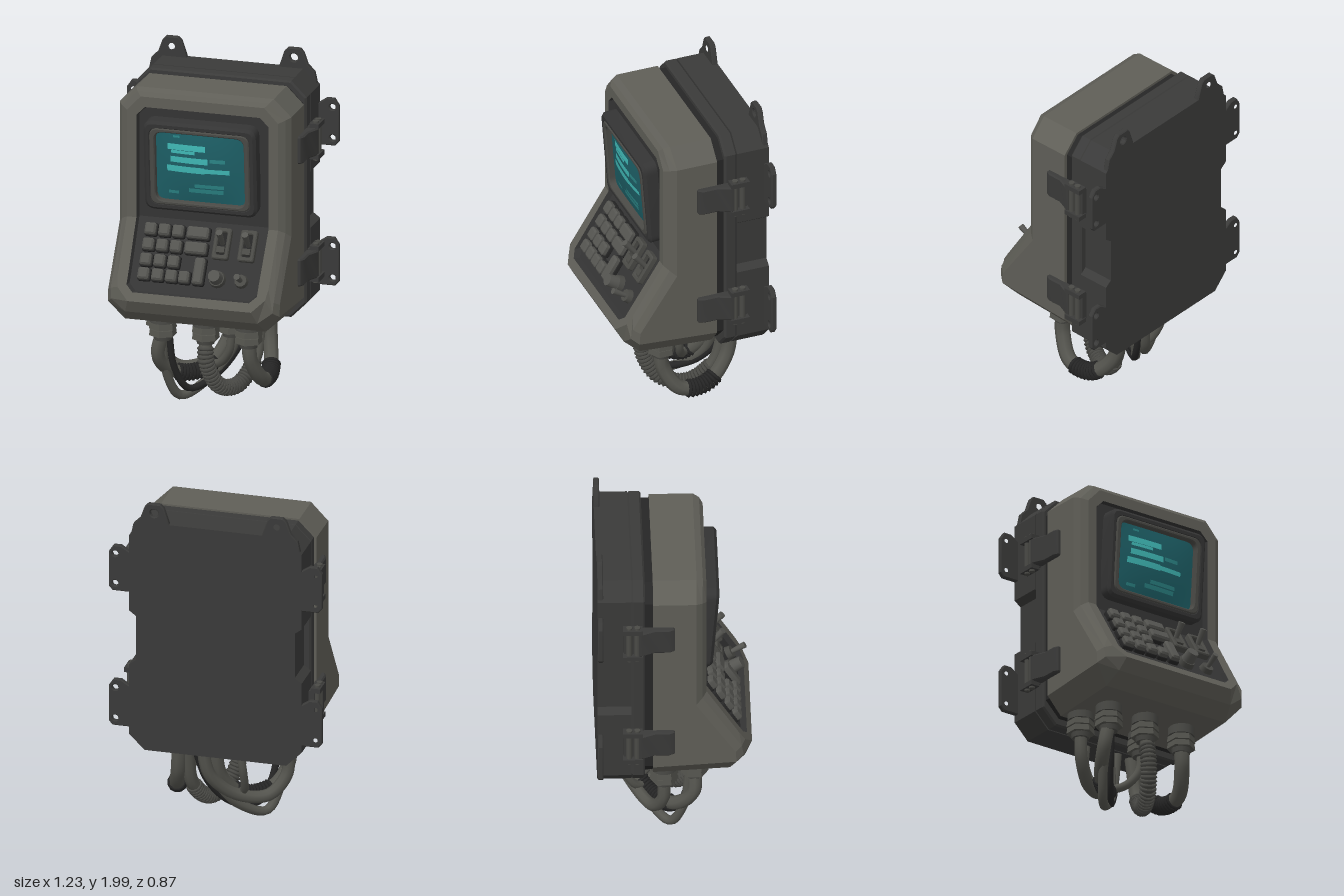
import * as THREE from 'three';
import { toCreasedNormals } from 'three/addons/utils/BufferGeometryUtils.js';

const mat = (name, color, side = THREE.FrontSide) => {
  const m = new THREE.MeshStandardMaterial({ color, side });
  m.name = name;
  return m;
};

export function createModel() {
  const root = new THREE.Group();
  const M = {
    shell: mat('shell grey', 0x5f5e57),
    box: mat('box charcoal', 0x3a3a39),
    panel: mat('panel charcoal', 0x343434),
    rubber: mat('rubber black', 0x262626),
    metal: mat('fitting grey', 0x4a4a46),
    keys: mat('key grey', 0x555551),
    cable: mat('cable grey', 0x54544e),
    screen: mat('screen teal', 0x1d5f66),
    dim: mat('screen mid teal', 0x2b8586),
    glow: mat('screen bright teal', 0x3fb8b5),
  };
  const add = (name, geo, m, parent = root, x = 0, y = 0, z = 0) => {
    const mesh = new THREE.Mesh(geo, m);
    mesh.name = name;
    mesh.position.set(x, y, z);
    parent.add(mesh);
    return mesh;
  };
  const group = (name, x = 0, y = 0, z = 0, parent = root) => {
    const g = new THREE.Group();
    g.name = name;
    g.position.set(x, y, z);
    parent.add(g);
    return g;
  };
  const poly = pts => new THREE.Shape(pts.map(p => new THREE.Vector2(p[0], p[1])));
  // extrusion that fills exactly z0..z1, with bevelled edges
  const extrude = (shape, z0, z1, b = 0.008) => toCreasedNormals(new THREE.ExtrudeGeometry(shape, {
    depth: z1 - z0 - 2 * b, bevelEnabled: b > 0, bevelSize: b, bevelThickness: b, bevelOffset: -b,
    bevelSegments: 1, curveSegments: 6,
  }).translate(0, 0, z0 + b), 0.5);
  const roundRect = (w, h, r, Type = THREE.Shape) => {
    const s = new Type(), a = w / 2, b = h / 2;
    s.moveTo(-a + r, -b).lineTo(a - r, -b).quadraticCurveTo(a, -b, a, -b + r).lineTo(a, b - r)
      .quadraticCurveTo(a, b, a - r, b).lineTo(-a + r, b).quadraticCurveTo(-a, b, -a, b - r)
      .lineTo(-a, -b + r).quadraticCurveTo(-a, -b, -a + r, -b);
    return s;
  };
  const frame = (w, h, r, w2, h2, r2) => {
    const s = roundRect(w, h, r);
    s.holes.push(roundRect(w2, h2, r2, THREE.Path));
    return s;
  };
  const key = (w, h, d, b = 0.01) => extrude(roundRect(w, h, 0.014), 0, d, b);
  const triangles = v => {
    const g = new THREE.BufferGeometry();
    g.setAttribute('position', new THREE.Float32BufferAttribute(v.flat(), 3));
    g.computeVertexNormals();
    return g;
  };
  // skin between rings; each ring is given as its +x half, top to bottom
  const mirrored = h => [...h, ...h.map(([x, y, z]) => [-x, y, z]).reverse()];
  const loft = halves => {
    const rings = halves.map(mirrored), v = [];
    for (let i = 0; i + 1 < rings.length; i++) {
      rings[i].forEach((a, j) => {
        const k = (j + 1) % rings[i].length;
        const b = rings[i][k], c = rings[i + 1][j], d = rings[i + 1][k];
        v.push(a, c, b, b, c, d);
      });
    }
    return triangles(v);
  };

  // Front shell: flat screen face above, sloping control face below
  const faceZ = y => 0.18 + Math.max(0, 1.12 - y) * 0.622;
  const onFace = (pts, d = 0) => pts.map(([x, y]) => [x, y, faceZ(y) - d]);
  const back = [[.40, 1.87], [.5, 1.77], [.5, 1.09], [.5, .74], [.5, .64], [.41, .54]].map(p => [...p, -.12]);
  const lip = back.map(([x, y]) => [x * .93, 1.2 + (y - 1.2) * .94, -.12]);
  const side = [[.40, 1.87, .125], [.5, 1.77, .12], [.5, 1.07, .12], [.5, .74, .34], [.5, .67, .345], [.41, .565, .31]];
  const brow = [[.385, 1.855, .16], [.475, 1.76, .155], [.475, 1.1, .155], [.475, .76, .375], [.47, .70, .385], [.385, .635, .395]];
  const face = onFace([[.36, 1.83], [.44, 1.745], [.44, 1.12], [.44, .83], [.43, .775], [.36, .71]]);
  const opening = [[.335, 1.77], [.385, 1.72], [.385, 1.12], [.38, .85], [.38, .79], [.34, .755]];
  const floor = onFace(opening.map(([x, y]) => [x * .98, y]), 0.035);
  add('frontShell', loft([lip, back, side, brow, face, onFace(opening)]), M.shell);
  add('panelRim', loft([onFace(opening), floor]), M.panel);
  const fv = [];
  for (let j = 0; j < 5; j++) {
    const [a, b] = [floor[j], floor[j + 1]];
    const [l, m] = [a, b].map(([x, y, z]) => [-x, y, z]);
    fv.push(l, m, b, l, b, a);
  }
  add('panelFloor', triangles(fv), M.panel);

  // Back box with a hand notch on each side, and the seal
  const half = (hw, y0, y1, c, mid = []) => [[hw - c, y1], [hw, y1 - c], ...mid, [hw, y0 + c], [hw - c, y0]];
  const outline = h => poly([...h, ...h.map(([x, y]) => [-x, y]).reverse()]);
  const notch = [[.5, 1.34], [.46, 1.31], [.46, 1.04], [.5, 1.01]];
  add('backBoxRear', extrude(outline(half(.5, .5, 1.885, .09, notch)), -.43, -.24, 0), M.box);
  add('backBoxFront', extrude(outline(half(.5, .5, 1.885, .09)), -.241, -.165, .01), M.box);
  add('seal', extrude(outline(half(.48, .545, 1.855, .09)), -.19, -.10, 0), M.rubber);

  // Wall lugs, side tabs and latches, mirrored
  const hole = (s, x, y, r) => s.holes.push(new THREE.Path().absarc(x, y, r, 0, Math.PI * 2, true));
  const armShape = poly([[.49, 0], [.515, 0], [.53, .03], [.53, .11], [.56, .18], [.56, .2], [.49, .2]]);
  for (const s of [-1, 1]) {
    const lug = poly([[.49, 1.80], [.475, 1.87], [.435, 1.91], [.41, 1.98], [.39, 2], [.32, 2], [.30, 1.98],
      [.27, 1.89], [.26, 1.80]].map(([x, y]) => [s * x, y]));
    hole(lug, s * .355, 1.945, .024);
    add('topLug', extrude(lug, -.43, -.398, .005), M.box);
    for (const [y0, y1] of [[1.45, 1.725], [.63, .91]]) {
      const yc = (y0 + y1) / 2;
      const tab = poly([[.47, y0], [.595, y0], [.617, y0 + .025], [.617, y1 - .04], [.59, y1], [.545, y1], [.50, y1 - .03],
        [.47, y1 - .03]].map(([x, y]) => [s * x, y]));
      hole(tab, s * .58, y0 + .045, .018);
      hole(tab, s * .58, y1 - .05, .018);
      add('sideTab', extrude(tab, -.43, -.40, .005), M.box);

      const g = group('latch', 0, yc - (yc > 1 ? .05 : -.05), 0);
      const arm = add('latchArm', extrude(s > 0 ? armShape : poly(armShape.getPoints().map(p => [-p.x, p.y])), -.08, .08, .008), M.box, g);
      arm.rotation.x = -Math.PI / 2;
      add('latchMount', new THREE.BoxGeometry(.05, .17, .10), M.box, g, s * .508, 0, -.235);
      for (const z of [-.255, -.21]) {
        add('latchPin', new THREE.CylinderGeometry(.017, .017, .23, 10), M.metal, g, s * .542, 0, z);
      }
      for (const y of [-.09, .09]) {
        add('latchKnuckle', new THREE.BoxGeometry(.055, .028, .11), M.box, g, s * .54, y, -.235);
      }
    }
  }

  // Screen with its deep bezel
  const mon = group('monitor', 0, 1.45, .235);
  mon.rotation.x = 0.077;
  add('bezel', extrude(frame(.655, .53, .06, .56, .43, .04), -.10, 0, .016), M.panel, mon);
  add('bezelTrim', extrude(frame(.58, .455, .05, .52, .41, .05), -.06, .004, .006), M.metal, mon);
  const patch = (x, y, w, h, off) => {
    const p = new THREE.PlaneGeometry(w, h, 10, 10).translate(x, y, 0), a = p.attributes.position;
    for (let i = 0; i < a.count; i++) {
      const u = a.getX(i) / .27, v = a.getY(i) / .22;
      a.setZ(i, -.035 + .025 * (1 - u * u) * (1 - v * v) + off);
    }
    p.computeVertexNormals();
    return p;
  };
  add('screenGlass', patch(0, 0, .54, .43, 0), M.screen, mon);
  for (const [x, y, w, h, m] of [
    [-.14, .178, .04, .012, M.dim], [-.08, .118, .22, .034, M.glow], [-.10, .090, .14, .018, M.glow],
    [-.065, .045, .22, .034, M.glow], [.10, .052, .09, .022, M.dim], [-.085, -.010, .22, .036, M.glow],
    [.095, -.010, .15, .026, M.glow], [.05, -.105, .17, .022, M.dim], [.03, -.135, .20, .025, M.dim],
    [-.16, -.155, .06, .018, M.dim]]) add('screenBar', patch(x, y, w, h, .002), m, mon);

  // Control panel: local y runs up the slope, local z leaves it
  const ctl = group('controls', 0, .93, faceZ(.93) - .035);
  ctl.rotation.x = -Math.atan(0.622);
  const up = y => (y - .93) / .849;
  const putKey = (x, y, w, h) => {
    add('keyBase', key(w + .01, h + .01, .025, .003), M.rubber, ctl, x, up(y), 0);
    add('keyCap', key(w, h, .055, .01), M.keys, ctl, x, up(y), 0);
  };
  for (const x of [-.29, -.21, -.13]) for (const y of [1.055, .98, .905, .835]) putKey(x, y, .064, .066);
  putKey(-.013, 1.055, .125, .066);
  putKey(-.013, .98, .125, .066);
  putKey(-.055, .835, .06, .066);
  putKey(.025, .87, .058, .15);
  for (const x of [.13, .28]) {
    add('switchFrame', extrude(frame(.095, .18, .015, .05, .13, .01), 0, .04, .006), M.metal, ctl, x, up(1.015), 0);
    add('switchSlot', new THREE.BoxGeometry(.06, .14, .01), M.rubber, ctl, x, up(1.015), .006);
    const lever = add('switchLever', new THREE.CylinderGeometry(.02, .013, .11, 8), M.keys, ctl, x, up(1.035), .065);
    lever.rotation.x = Math.PI / 2 - .35;
    add('switchSill', new THREE.BoxGeometry(.045, .035, .045), M.metal, ctl, x, up(.985), .02);
  }
  const dial = (name, r0, r1, h, x, z, m) => {
    add(name, new THREE.CylinderGeometry(r0, r1, h, 12), m, ctl, x, up(.845), z).rotation.x = Math.PI / 2;
  };
  dial('knobBase', .045, .05, .03, .13, .015, M.metal);
  dial('knobCap', .034, .04, .07, .13, .055, M.keys);
  dial('stickBase', .035, .04, .03, .27, .015, M.metal);
  dial('stickLever', .018, .012, .10, .27, .065, M.keys);

  // Cable glands under the shell
  const glands = [[-.25, .115], [0, .115], [.25, .115], [-.32, -.055], [.1, -.055]];
  for (const [x, z] of glands) {
    const g = group('cableGland', x, 0, z);
    add('glandFlange', new THREE.CylinderGeometry(.075, .075, .06, 16), M.metal, g, 0, .535, 0);
    for (const y of [.485, .445]) {
      add('glandNut', toCreasedNormals(new THREE.CylinderGeometry(.075, .08, .035, 6), .5), M.cable, g, 0, y, 0);
    }
    add('glandNeck', new THREE.CylinderGeometry(.06, .05, .05, 12), M.metal, g, 0, .425, 0);
  }

  // Cables looping from the glands up into the back box; rings make a ribbed sleeve
  const cable = (pts, r, m, t0 = 0, t1 = 0, ringMat = M.rubber) => {
    const curve = new THREE.CatmullRomCurve3(pts.map(p => new THREE.Vector3(...p)));
    add('cable', new THREE.TubeGeometry(curve, 40, r, 8), m);
    const n = Math.round((t1 - t0) * curve.getLength() / .022);
    for (let i = 0; i < n; i++) {
      const t = t0 + (t1 - t0) * i / n;
      const ring = add('cableRib', new THREE.TorusGeometry(r, .011, 5, 12), ringMat);
      ring.position.copy(curve.getPointAt(t));
      ring.quaternion.setFromUnitVectors(new THREE.Vector3(0, 0, 1), curve.getTangentAt(t));
    }
  };
  cable([[.25, .45, .115], [.26, .32, .11], [.30, .19, .02], [.30, .19, -.14], [.26, .32, -.27], [.24, .52, -.31]], .043, M.cable, .4, .62);
  cable([[0, .45, .115], [.01, .29, .135], [.06, .14, .06], [.13, .11, -.08], [.19, .24, -.22], [.2, .52, -.29]], .038, M.cable, .08, .7, M.metal);
  cable([[-.25, .45, .115], [-.28, .3, .11], [-.22, .18, 0], [-.08, .17, -.13], [.02, .32, -.25], [.04, .52, -.29]], .04, M.cable, .38, .65);
  cable([[-.32, .45, -.055], [-.31, .28, -.06], [-.22, .17, -.12], [-.06, .2, -.22], [.06, .34, -.32], [.1, .52, -.35]], .036, M.cable);
  cable([[-.26, .45, .09], [-.25, .2, .06], [-.19, .035, -.02], [-.08, .09, -.13], [.04, .25, -.24], [.1, .52, -.28]], .027, M.cable);
  cable([[-.22, .45, .1], [-.2, .22, .06], [-.14, .08, -.02], [-.03, .12, -.16], [.08, .28, -.28], [.14, .52, -.36]], .02, M.rubber);
  cable([[.1, .45, -.055], [.08, .3, -.06], [0, .21, -.11], [-.1, .22, -.2], [-.12, .36, -.28], [-.1, .52, -.3]], .024, M.cable);
  return root;
}
